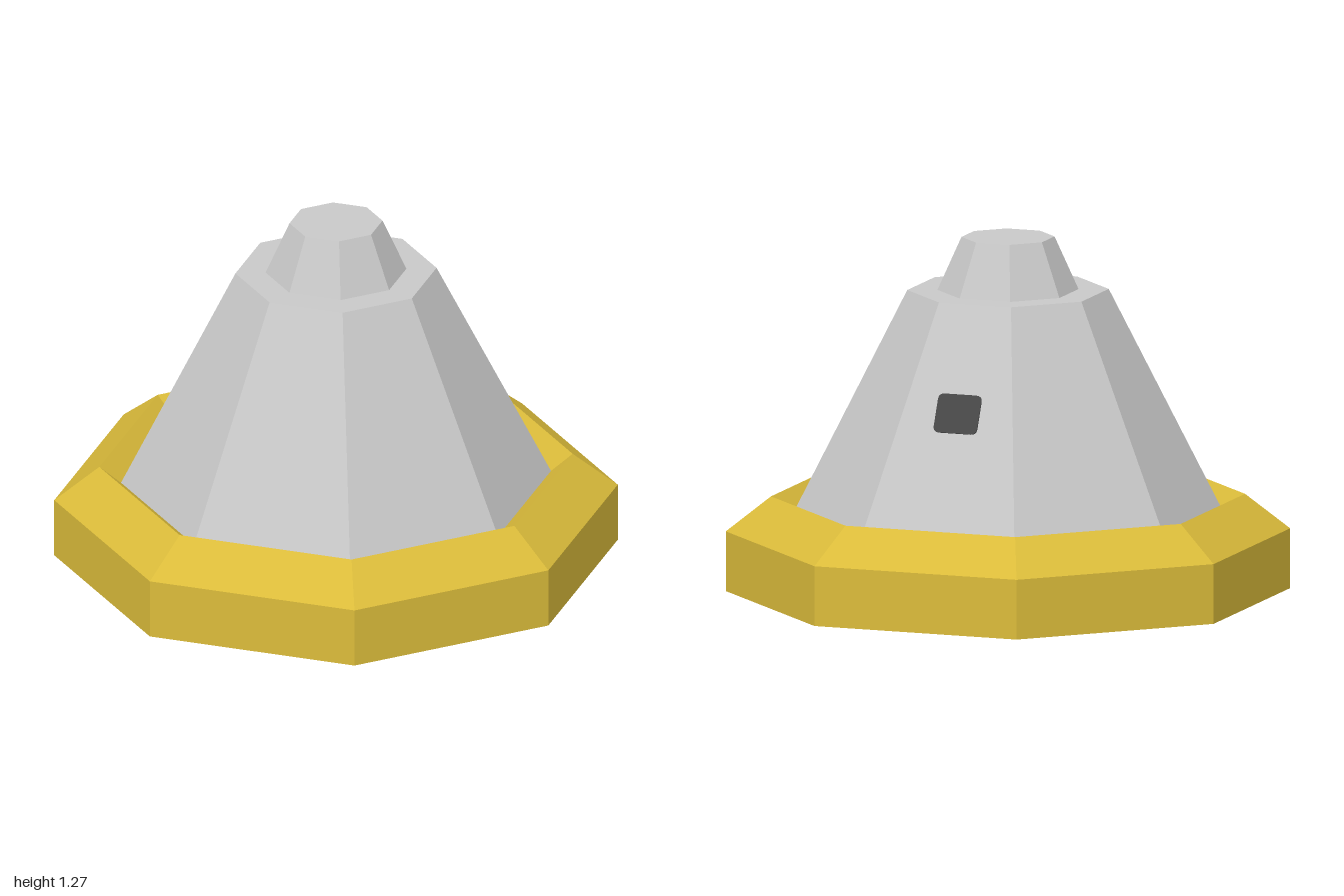
import * as THREE from 'three';

const SIDES = 8;

function flatMaterial(name, color) {
  const m = new THREE.MeshStandardMaterial({ color, flatShading: true });
  m.name = name;
  return m;
}

function roundedRect(w, h, r) {
  const s = new THREE.Shape();
  const x = w / 2, y = h / 2;
  s.moveTo(-x + r, -y);
  s.lineTo(x - r, -y);
  s.quadraticCurveTo(x, -y, x, -y + r);
  s.lineTo(x, y - r);
  s.quadraticCurveTo(x, y, x - r, y);
  s.lineTo(-x + r, y);
  s.quadraticCurveTo(-x, y, -x, y - r);
  s.lineTo(-x, -y + r);
  s.quadraticCurveTo(-x, -y, -x + r, -y);
  return s;
}

export function createModel() {
  const model = new THREE.Group();
  model.name = 'capsule';
  const grey = flatMaterial('hullGrey', 0xc8c8c8);
  const yellow = flatMaterial('collarYellow', 0xdabb3a);
  const dark = flatMaterial('darkGrey', 0x484848);

  const add = (name, geometry, material, y = 0) => {
    const mesh = new THREE.Mesh(geometry, material);
    mesh.name = name;
    mesh.position.y = y;
    model.add(mesh);
    return mesh;
  };

  // Octagonal flotation collar: closed ring profile with bevelled top
  const profile = [[0.69, 0], [1, 0], [1, 0.215], [0.84, 0.34], [0.69, 0.215], [0.69, 0]]
    .map(([r, y]) => new THREE.Vector2(r, y));
  add('flotationCollar', new THREE.LatheGeometry(profile, SIDES), yellow);

  // Tapered hull with a dark heat shield as its underside
  const base = 0.15, top = 1.08, topR = 0.357, slope = 0.505;
  const baseR = topR + (top - base) * slope;
  add('hull', new THREE.CylinderGeometry(topR, baseR, top - base, SIDES),
    [grey, grey, dark], (base + top) / 2);

  // Small nose on top of the hull
  add('nose', new THREE.CylinderGeometry(0.165, 0.25, 0.19, SIDES), grey, top + 0.095);

  // Window, a thin plate lying on one sloped hull face
  const faceCos = Math.cos(Math.PI / SIDES);
  const windowY = 0.715;
  const apothem = (topR + (top - windowY) * slope) * faceCos;
  const angle = Math.PI * 5 / 8;
  const plate = new THREE.ExtrudeGeometry(roundedRect(0.164, 0.143, 0.022),
    { depth: 0.005, bevelEnabled: false, curveSegments: 4 });
  const pane = add('window', plate, dark);
  pane.position.set(Math.sin(angle) * apothem, windowY, Math.cos(angle) * apothem);
  pane.rotation.set(-Math.atan(slope * faceCos), angle, 0, 'YXZ');

  return model;
}
